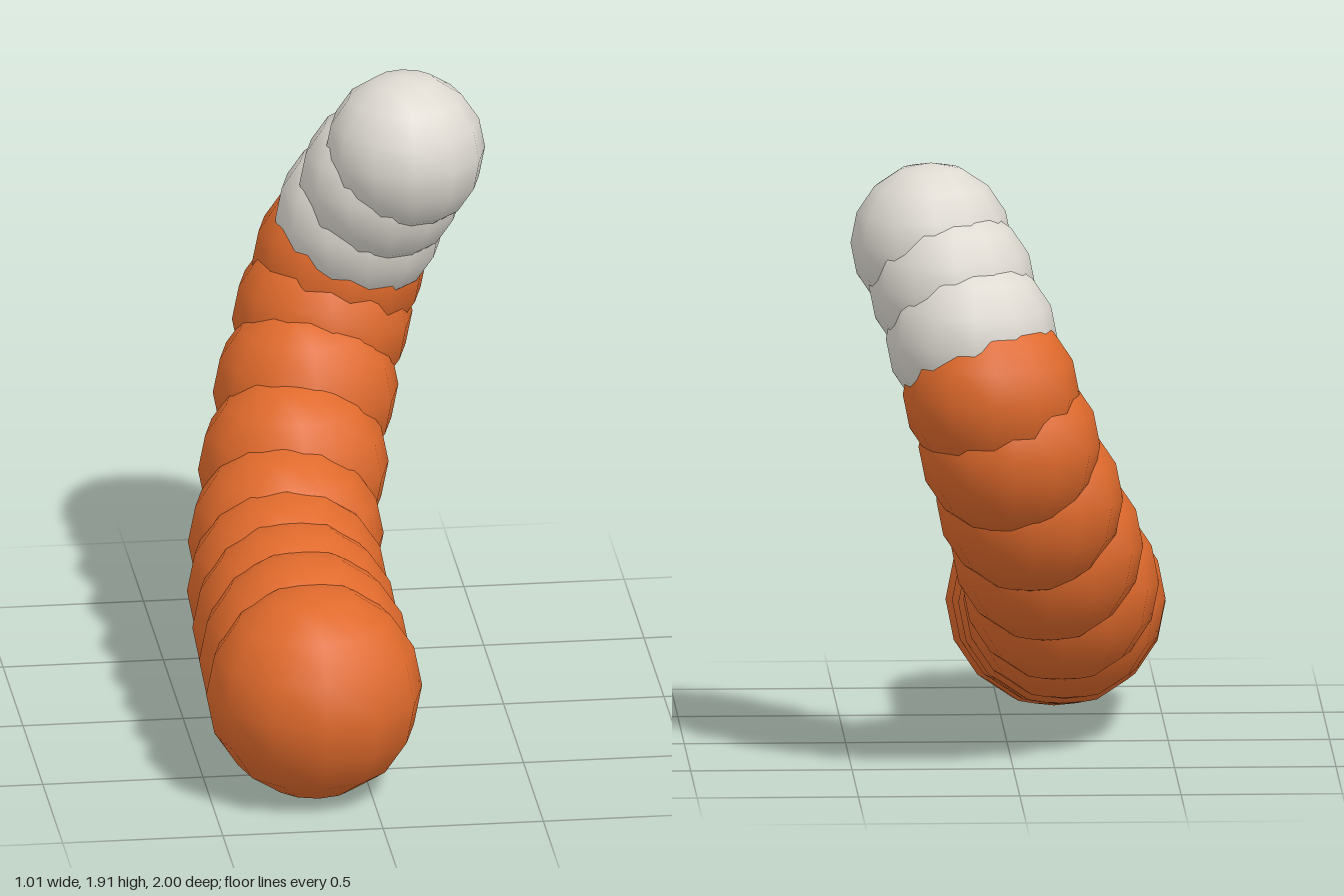
import * as THREE from 'three';

// Centres of the overlapping balls, from the thick end to the pale tip
const CENTRES = [
  [-0.173, 0.34, 0.66],
  [-0.177, 0.373, 0.45],
  [-0.18, 0.4, 0.24],
  [-0.18, 0.443, 0.04],
  [-0.16, 0.527, -0.16],
  [-0.11, 0.68, -0.375],
  [-0.048, 0.86, -0.565],
  [0.02, 1.05, -0.695],
  [0.078, 1.22, -0.727],
  [0.136, 1.385, -0.67],
  [0.193, 1.535, -0.583],
  [0.255, 1.66, -0.507],
];
const PALE_COUNT = 3;

export function createModel() {
  const model = new THREE.Group();
  model.name = 'curvedSegmentedBody';

  const orange = new THREE.MeshStandardMaterial({ color: 0xe06a2c });
  orange.name = 'orange';
  const paleGrey = new THREE.MeshStandardMaterial({ color: 0xdedad2 });
  paleGrey.name = 'paleGrey';

  // Each ball is a little smaller than the one before
  CENTRES.forEach((centre, i) => {
    const radius = THREE.MathUtils.lerp(0.337, 0.25, i / (CENTRES.length - 1));
    const pale = i >= CENTRES.length - PALE_COUNT;
    const ball = new THREE.Mesh(new THREE.SphereGeometry(radius, 12, 8), pale ? paleGrey : orange);
    ball.name = (pale ? 'tipSegment' : 'bodySegment') + (i + 1);
    ball.position.set(...centre);
    model.add(ball);
  });

  return model;
}
